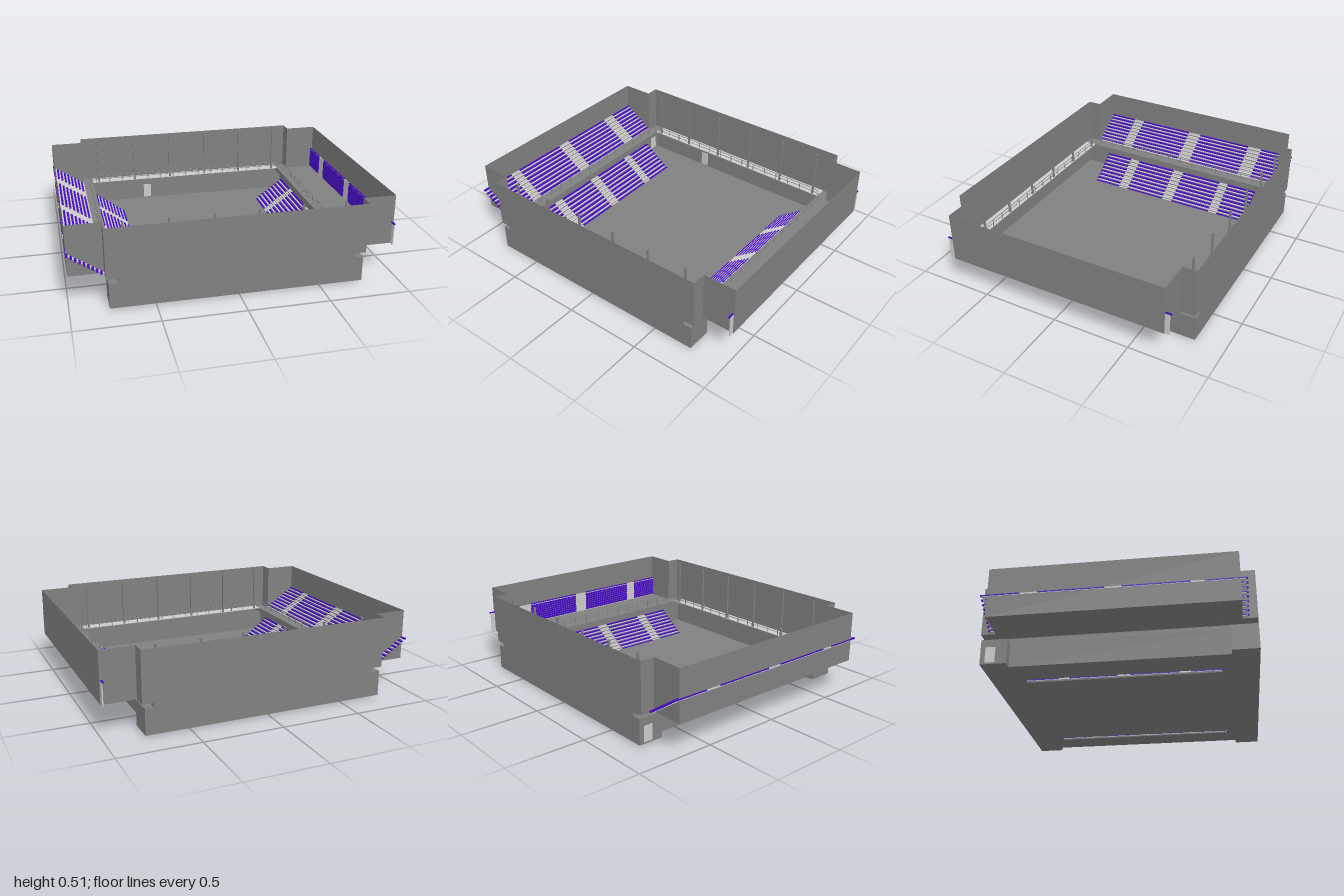
import * as THREE from 'three';

const mat = (color) => new THREE.MeshStandardMaterial({ color, side: THREE.DoubleSide, flatShading: true });
const dark = mat(0x808080), light = mat(0xcccccc), purple = mat(0x450ebf);

function add(parent, name, geometry, material, x = 0, y = 0, z = 0) {
  const mesh = new THREE.Mesh(geometry, material);
  mesh.name = name;
  mesh.position.set(x, y, z);
  parent.add(mesh);
  return mesh;
}

const box = (parent, name, w, h, d, material, x, y, z) =>
  add(parent, name, new THREE.BoxGeometry(w, h, d), material, x, y, z);

// Mirrors one quarter of a plan (from the +z side round to the +x side) into a closed outline
function fullPlan(quarter) {
  const flip = (pts, sx, sz) => pts.map(([x, z]) => [x * sx, z * sz]);
  const back = [...quarter].reverse();
  return [...quarter, ...flip(back, 1, -1), ...flip(quarter, -1, -1), ...flip(back, -1, 1)];
}

// Thin upright wall following a plan
function wall(parent, name, plan, y0, y1) {
  const pos = [];
  plan.forEach(([ax, az], i) => {
    const [bx, bz] = plan[(i + 1) % plan.length];
    pos.push(ax, y0, az, bx, y0, bz, bx, y1, bz, ax, y0, az, bx, y1, bz, ax, y1, az);
  });
  const g = new THREE.BufferGeometry();
  g.setAttribute('position', new THREE.Float32BufferAttribute(pos, 3));
  g.computeVertexNormals();
  add(parent, name, g, dark);
}

const toShape = (plan) => new THREE.Shape(plan.map(([x, z]) => new THREE.Vector2(x, z)));

function slab(parent, name, shape, y, material = dark) {
  const g = new THREE.ShapeGeometry(shape);
  g.rotateX(Math.PI / 2);
  add(parent, name, g, material, 0, y, 0);
}

// Bench lengths left between the aisles
function benchSpans(half, aisles) {
  const edges = [-half, ...aisles.flat(), half];
  const spans = [];
  for (let i = 0; i < edges.length; i += 2) spans.push([edges[i], edges[i + 1]]);
  return spans;
}

// Sloping stand rising from x0,y0 to x1,y1 with benches between aisles
function stand(parent, name, x0, y0, x1, y1, half, aisles) {
  const g = new THREE.Group();
  g.name = name;
  const rows = 9, dx = (x1 - x0) / rows, dy = (y1 - y0) / rows, run = Math.abs(dx);
  for (let i = 0; i < rows; i++) {
    const x = x0 + dx * (i + 0.5), y = y0 + dy * (i + 0.5);
    box(g, 'tread', run, 0.003, half * 2 - 0.02, light, x, y, 0);
    for (const [a, b] of benchSpans(half, aisles))
      box(g, 'bench', run * 0.58, 0.008, b - a, purple, x + dx * 0.2, y + 0.006, (a + b) / 2);
    // half steps in the aisles
    for (const [a, b] of aisles)
      box(g, 'aisleStep', run * 0.5, dy / 2, b - a, light, x + dx * 0.25, y + dy / 4, (a + b) / 2);
  }
  parent.add(g);
}

export function createModel() {
  const model = new THREE.Group();
  model.name = 'sportsHall';

  // Lower hall with corner blocks, and the narrower neck above them
  const lowerPlan = fullPlan([[0.77, 0.815], [0.77, 0.655], [0.715, 0.655]]);
  const neckPlan = fullPlan([[0.715, 0.815]]);
  wall(model, 'lowerWall', lowerPlan, 0.01, 0.17);
  wall(model, 'neckWall', neckPlan, 0.17, 0.197);
  slab(model, 'hallFloor', toShape(lowerPlan), 0.01);
  for (const sx of [-1, 1]) for (const sz of [-1, 1])
    box(model, 'cornerBlockTop', 0.055, 0.002, 0.16, dark, sx * 0.7425, 0.169, sz * 0.735);

  // Upper hall with side wings
  const upperPlan = fullPlan([[0.785, 0.815], [0.785, 0.725], [0.995, 0.725]]);
  wall(model, 'upperWall', upperPlan, 0.197, 0.515);

  // Gallery floor around the open hall
  const gallery = toShape(upperPlan);
  gallery.holes.push(new THREE.Path(neckPlan.map(([x, z]) => new THREE.Vector2(x, z))));
  slab(model, 'galleryFloor', gallery, 0.197);
  for (const s of [-1, 1])
    box(model, 'galleryWalkway', 1.43, 0.004, 0.08, light, 0, 0.197, s * 0.772);

  // Railing on a rounded rectangle
  const rx = 0.745, rz = 0.735, r = 0.07;
  const rail = new THREE.Shape();
  rail.absarc(rx - r, rz - r, r, 0, Math.PI / 2);
  rail.absarc(r - rx, rz - r, r, Math.PI / 2, Math.PI);
  rail.absarc(r - rx, r - rz, r, Math.PI, Math.PI * 1.5);
  rail.absarc(rx - r, r - rz, r, Math.PI * 1.5, Math.PI * 2);
  rail.closePath();
  const railPts = rail.getPoints(8).slice(0, -1).map((p) => new THREE.Vector3(p.x, 0, p.y));
  const railPath = new THREE.CurvePath();
  railPts.forEach((p, i) => railPath.add(new THREE.LineCurve3(p, railPts[(i + 1) % railPts.length])));
  for (const y of [0.222, 0.245])
    add(model, 'handrail', new THREE.TubeGeometry(railPath, 240, 0.0022, 5, true), dark, 0, y, 0);
  for (const p of railPath.getSpacedPoints(60).slice(0, -1))
    box(model, 'railPost', 0.004, 0.05, 0.004, dark, p.x, 0.221, p.z);

  // Slim columns along the gallery edges
  for (const s of [-1, 1]) for (let i = 0; i < 6; i++)
    box(model, 'column', 0.012, 0.315, 0.012, dark, -0.67 + i * 0.268, 0.355, s * 0.74);

  // Doors
  box(model, 'hallDoor', 0.055, 0.1, 0.004, light, -0.3, 0.07, -0.81);
  box(model, 'cornerDoor', 0.004, 0.1, 0.06, light, -0.77, 0.07, -0.755);

  // Lower stands on both long sides of the court
  const lowerAisles = [[-0.395, -0.33], [-0.035, 0.043], [0.335, 0.408]];
  for (const s of [-1, 1])
    stand(model, s > 0 ? 'lowerStandLeft' : 'lowerStandRight', s * 0.5, -0.006, s * 0.713, 0.15, 0.605, lowerAisles);

  // Opened upper stand in the right wing
  const upperAisles = [[-0.53, -0.43], [-0.04, 0.055], [0.45, 0.525]];
  stand(model, 'upperStandRight', -0.785, 0.197, -0.998, 0.34, 0.765, upperAisles);

  // Folded upper stand against the left wing wall
  const folded = new THREE.Group();
  folded.name = 'foldedStand';
  box(folded, 'backing', 0.006, 0.14, 1.51, light, 0.988, 0.267, 0);
  for (let i = 0; i < 9; i++)
    for (const [a, b] of benchSpans(0.765, upperAisles))
      box(folded, 'foldedBench', 0.012, i === 8 ? 0.005 : 0.0125,
        i === 8 ? b - a : Math.min(b, 0.72) - Math.max(a, -0.72), purple,
        0.984, i === 8 ? 0.339 : 0.21 + i * 0.016, i === 8 ? (a + b) / 2 : (Math.min(b, 0.72) + Math.max(a, -0.72)) / 2);
  model.add(folded);

  return model;
}
